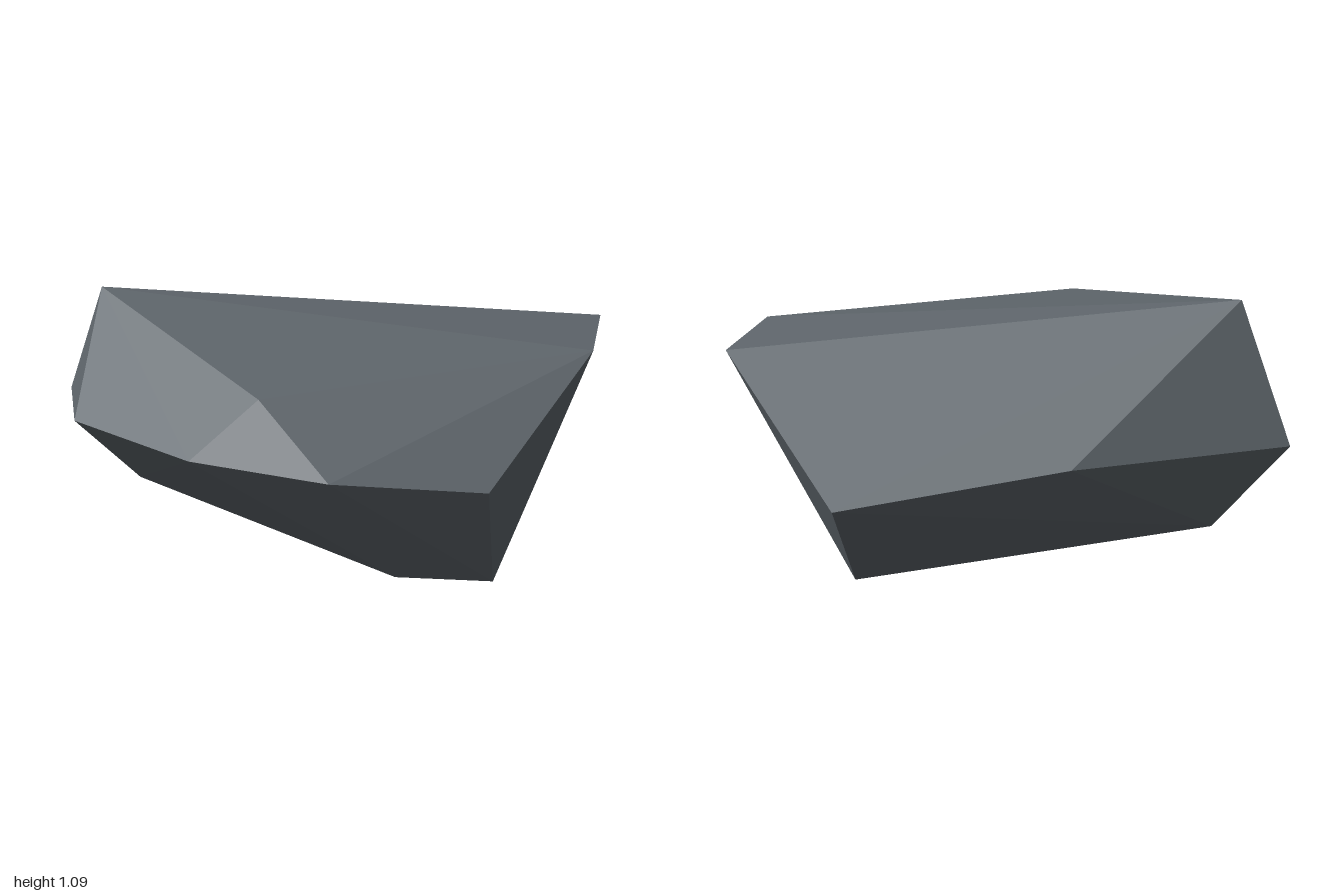
import * as THREE from 'three';
import { ConvexGeometry } from 'three/addons/geometries/ConvexGeometry.js';

const stone = new THREE.MeshStandardMaterial({ color: 0x5f666c });
stone.name = 'slate grey stone';
stone.flatShading = true;

// Corners of the faceted boulder, grouped by level
const crown = [
  [-0.83, 1.09, -0.105], [-0.27, 0.965, 0.56],
  [0.9, 0.95, 0.21], [1, 0.925, -0.145],
];
const girdle = [
  [-1, 0.6, -0.28], [-0.9, 0.8, 0.37], [-0.5, 0.805, 0.675], [-0.05, 0.76, 0.765],
  [0.485, 0.655, 0.67], [0.58, 0.56, -0.765], [-0.2, 0.66, -0.66],
];
const foot = [
  [0.575, 0.07, 0.335], [0.225, 0, 0.19], [0.575, 0.015, -0.125], [-0.75, 0.25, -0.18],
];

export function createModel() {
  const group = new THREE.Group();
  group.name = 'boulder';

  // The rock is the convex skin over its corners
  const corners = [...crown, ...girdle, ...foot].map((p) => new THREE.Vector3(...p));
  const rock = new THREE.Mesh(new ConvexGeometry(corners), stone);
  rock.name = 'rock';
  group.add(rock);
  return group;
}
